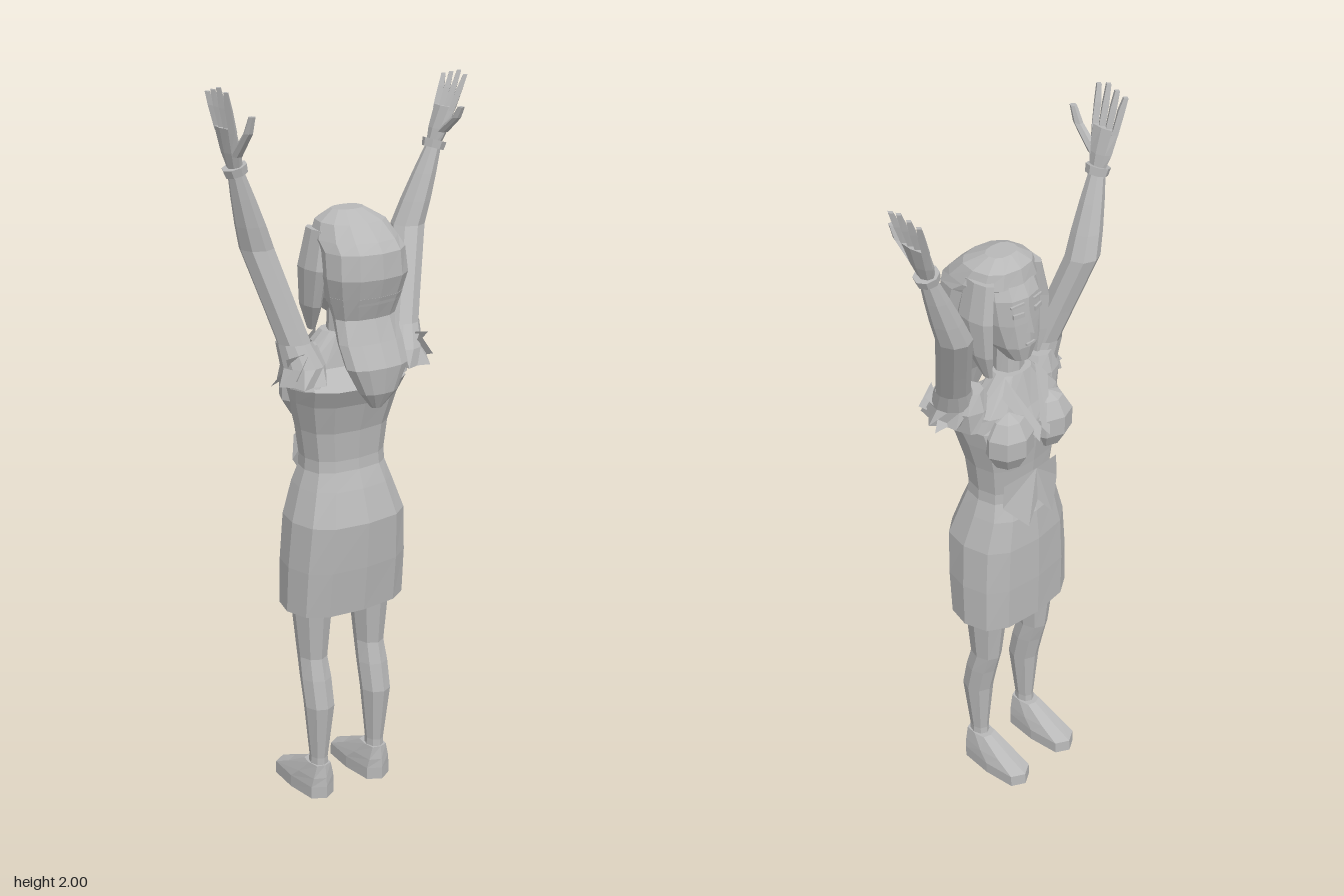
import * as THREE from 'three';

const CX = -0.03; // body's plane of symmetry

export function createModel() {
  const model = new THREE.Group();
  model.name = 'figure';
  const grey = new THREE.MeshStandardMaterial({ color: 0xb8b8b8, side: THREE.DoubleSide });
  grey.name = 'grey';

  function add(name, geometry, parent = model) {
    const flat = geometry.index ? geometry.toNonIndexed() : geometry;
    flat.computeVertexNormals();
    const mesh = new THREE.Mesh(flat, grey);
    mesh.name = name;
    parent.add(mesh);
    return mesh;
  }

  // Skin horizontal rings, bottom to top: [centre x, y, half width, front z, back z]
  function loft(rings, { n = 8, square = 1, caps = true, zigzag = 1 } = {}) {
    const pos = [], idx = [];
    const bend = (v) => Math.sign(v) * Math.pow(Math.abs(v), square);
    rings.forEach(([x, y, w, zf, zb], r) => {
      for (let i = 0; i < n; i++) {
        const a = (i / n) * Math.PI * 2;
        const k = r === 0 && i % 2 ? zigzag : 1;
        pos.push(x + w * k * bend(Math.cos(a)), y, (zf + zb) / 2 + ((zb - zf) / 2) * k * bend(Math.sin(a)));
      }
    });
    for (let r = 0; r < rings.length - 1; r++) {
      for (let i = 0; i < n; i++) {
        const a = r * n + i, b = r * n + (i + 1) % n;
        idx.push(a, a + n, b, b, a + n, b + n);
      }
    }
    if (caps) {
      const top = (rings.length - 1) * n;
      for (let i = 1; i < n - 1; i++) idx.push(0, i, i + 1, top, top + i + 1, top + i);
    }
    const g = new THREE.BufferGeometry();
    g.setAttribute('position', new THREE.Float32BufferAttribute(pos, 3));
    g.setIndex(idx);
    return g;
  }
  const body = (rings, options) => loft(rings.map((r) => [CX, ...r]), options);

  // Thin sheet through corners given in order
  function sheet(points) {
    const g = new THREE.BufferGeometry();
    g.setAttribute('position', new THREE.Float32BufferAttribute(points.flat(), 3));
    const idx = [];
    for (let i = 1; i < points.length - 1; i++) idx.push(0, i, i + 1);
    g.setIndex(idx);
    return g;
  }

  // Dress
  add('skirt', body([
    [0.57, 0.177, -0.135, 0.085], [0.7, 0.175, -0.137, 0.1], [0.83, 0.165, -0.135, 0.11],
    [0.92, 0.135, -0.125, 0.082], [0.97, 0.117, -0.107, 0.063],
  ], { n: 12, square: 0.75, caps: false }));
  add('bodice', body([
    [0.95, 0.119, -0.108, 0.065], [1.0, 0.116, -0.105, 0.06], [1.08, 0.127, -0.112, 0.066],
    [1.16, 0.147, -0.122, 0.09], [1.21, 0.16, -0.115, 0.118], [1.25, 0.14, -0.098, 0.03],
    [1.34, 0.055, -0.07, 0.015],
  ], { n: 12, square: 0.75 }));

  // Parts repeated on both sides of the body
  for (const s of [-1, 1]) {
    const x = (d) => CX + s * d;
    const bust = add('bust', new THREE.SphereGeometry(1, 8, 5));
    bust.scale.set(0.074, 0.085, 0.068);
    bust.position.set(x(0.073), 1.175, -0.088);

    add('vestPoint', sheet([
      [x(0), 1.06, -0.122], [x(0.1), 1.04, -0.1], [x(0.105), 0.97, -0.1],
      [x(0.045), 0.9, -0.14], [x(0), 0.96, -0.128],
    ]));
    add('lapel', sheet([
      [x(0.055), 1.34, -0.06], [x(0.085), 1.3, -0.078], [x(0.02), 1.17, -0.15], [x(0), 1.2, -0.138],
    ]));

    const leg = x(0.095);
    add('leg', loft([
      [leg, 0.06, 0.026, -0.035, 0.033], [leg, 0.12, 0.024, -0.028, 0.03],
      [leg, 0.28, 0.042, -0.04, 0.05], [leg, 0.36, 0.043, -0.058, 0.035],
      [leg, 0.42, 0.039, -0.075, 0.02], [leg, 0.56, 0.053, -0.09, 0.032], [leg, 0.75, 0.065, -0.1, 0.045],
    ]));
    add('shoe', loft([
      [leg, 0, 0.046, -0.185, 0.042], [leg, 0.035, 0.046, -0.183, 0.042],
      [leg, 0.062, 0.04, -0.12, 0.04], [leg, 0.1, 0.028, -0.045, 0.035],
    ], { square: 0.6 }));

    // Hair falling beside the face, then the facial details
    add('sideLock', loft([
      [x(0.088), 1.35, 0.008, -0.045, -0.015], [x(0.1), 1.42, 0.02, -0.06, 0.03],
      [x(0.103), 1.52, 0.024, -0.062, 0.06], [x(0.085), 1.62, 0.02, -0.05, 0.05],
    ], { n: 8 }));
    const eye = add('eye', new THREE.BoxGeometry(0.032, 0.012, 0.006));
    eye.position.set(x(0.035), 1.53, -0.086);
    eye.rotation.y = s * -0.25;
    const brow = add('eyebrow', new THREE.BoxGeometry(0.04, 0.006, 0.006));
    brow.position.set(x(0.036), 1.558, -0.083);
    brow.rotation.set(0, s * -0.25, s * -0.1);
  }

  // Head
  add('neck', body([[1.28, 0.045, -0.06, 0.025], [1.46, 0.038, -0.055, 0.025]]));
  add('head', body([
    [1.385, 0.03, -0.085, -0.01], [1.43, 0.06, -0.095, 0.05], [1.5, 0.08, -0.092, 0.08],
    [1.57, 0.086, -0.087, 0.1], [1.62, 0.078, -0.06, 0.08],
  ], { n: 12, square: 0.85 }));
  add('nose', sheet([
    [CX, 1.475, -0.108], [CX - 0.012, 1.472, -0.088], [CX, 1.54, -0.088], [CX + 0.012, 1.472, -0.088],
  ]));
  const mouth = add('mouth', new THREE.BoxGeometry(0.03, 0.006, 0.006));
  mouth.position.set(CX, 1.44, -0.095);

  // Hair: a rounded cap, and a long wave down the back
  add('hairCap', body([
    [1.44, 0.1, 0.01, 0.148], [1.51, 0.116, 0, 0.17], [1.575, 0.112, -0.02, 0.165],
    [1.6, 0.108, -0.07, 0.145], [1.64, 0.09, -0.06, 0.1], [1.667, 0.045, -0.025, 0.04],
  ], { n: 12, square: 0.85 }));
  add('longHair', body([
    [1.165, 0.015, 0.125, 0.15], [1.21, 0.055, 0.115, 0.175], [1.28, 0.092, 0.095, 0.183],
    [1.34, 0.096, 0.065, 0.155], [1.4, 0.088, 0.03, 0.132], [1.46, 0.105, 0.01, 0.155],
  ], { n: 12, square: 0.85 }));

  // Raised arms
  function arm(name, side, shoulder, elbow, wrist, tip, thumb) {
    const group = new THREE.Group();
    group.name = name;
    model.add(group);
    const S = new THREE.Vector3(...shoulder), E = new THREE.Vector3(...elbow);
    const W = new THREE.Vector3(...wrist), T = new THREE.Vector3(...tip), H = new THREE.Vector3(...thumb);
    const ring = (p, w, d = w, dz = 0) => [p.x, p.y, w, p.z + dz - d, p.z + dz + d];
    const mid = (a, b, t) => a.clone().lerp(b, t);

    add('armSkin', loft([
      ring(S, 0.045), ring(mid(S, E, 0.5), 0.045), ring(E, 0.046), ring(mid(E, W, 0.3), 0.041),
      ring(mid(E, W, 0.65), 0.032), ring(W, 0.021),
    ]), group);
    const cuff = add('bracelet', new THREE.CylinderGeometry(0.033, 0.03, 0.022, 8), group);
    cuff.position.copy(W);
    cuff.rotation.z = side * -0.3;

    // Palm, four fanned fingers and the thumb
    const knuckle = mid(W, T, 0.52);
    add('palm', loft([
      ring(W, 0.018, 0.022), ring(mid(W, T, 0.22), 0.02, 0.036), ring(knuckle, 0.016, 0.045),
    ]), group);
    for (let f = 0; f < 4; f++) {
      const k = f - 1.5;
      const reach = mid(W, T, 1 - 0.04 * Math.abs(k - 0.5));
      add('finger', loft([
        ring(mid(W, T, 0.47), 0.012, 0.011, k * 0.022), ring(mid(W, T, 0.76), 0.011, 0.012, k * 0.026),
        ring(reach, 0.007, 0.009, k * 0.03),
      ], { n: 4 }), group);
    }
    const root = mid(W, T, 0.18);
    root.z += 0.02;
    const joint = mid(root, H, 0.6);
    joint.z += 0.012;
    add('thumb', loft([ring(root, 0.015, 0.018), ring(joint, 0.012, 0.014), ring(H, 0.009, 0.01)], { n: 6 }), group);

    // Ruffled sleeve with loose pointed folds
    const hem = S.clone().add(new THREE.Vector3(side * 0.01, -0.045, 0.01));
    add('sleeve', loft([
      ring(hem, 0.068, 0.075), ring(S, 0.058, 0.06), ring(mid(S, E, 0.2), 0.047),
    ], { n: 12, zigzag: 0.72, caps: false }), group);
    for (const [dx, dy, dz] of [[0.085, -0.05, -0.02], [0.06, -0.02, 0.065], [0.07, 0.03, 0.03]]) {
      add('ruffle', sheet([
        [S.x + side * dx, S.y + dy, S.z + dz], [S.x + side * 0.02, S.y + 0.04, S.z + dz * 0.5 + 0.025],
        [S.x + side * 0.03, S.y - 0.04, S.z + dz * 0.5 - 0.025],
      ]), group);
    }
    // Shoulder joining the sleeve to the bodice
    const joinX = CX + side * 0.1;
    add('shoulder', loft([
      [(joinX + S.x) / 2, 1.21, 0.05, -0.06, 0.07], [(joinX + S.x) / 2, 1.27, 0.06, -0.055, 0.045],
      [(joinX + S.x) / 2, 1.32, 0.035, -0.04, 0.03],
    ]), group);
  }
  arm('leftArm', 1, [0.125, 1.28, 0.03], [0.235, 1.57, -0.09], [0.315, 1.775, -0.085], [0.385, 1.965, -0.085], [0.33, 1.885, 0.012]);
  arm('rightArm', -1, [-0.185, 1.28, 0.03], [-0.265, 1.58, -0.055], [-0.335, 1.79, -0.035], [-0.39, 2.0, -0.03], [-0.342, 1.935, 0.058]);

  return model;
}
